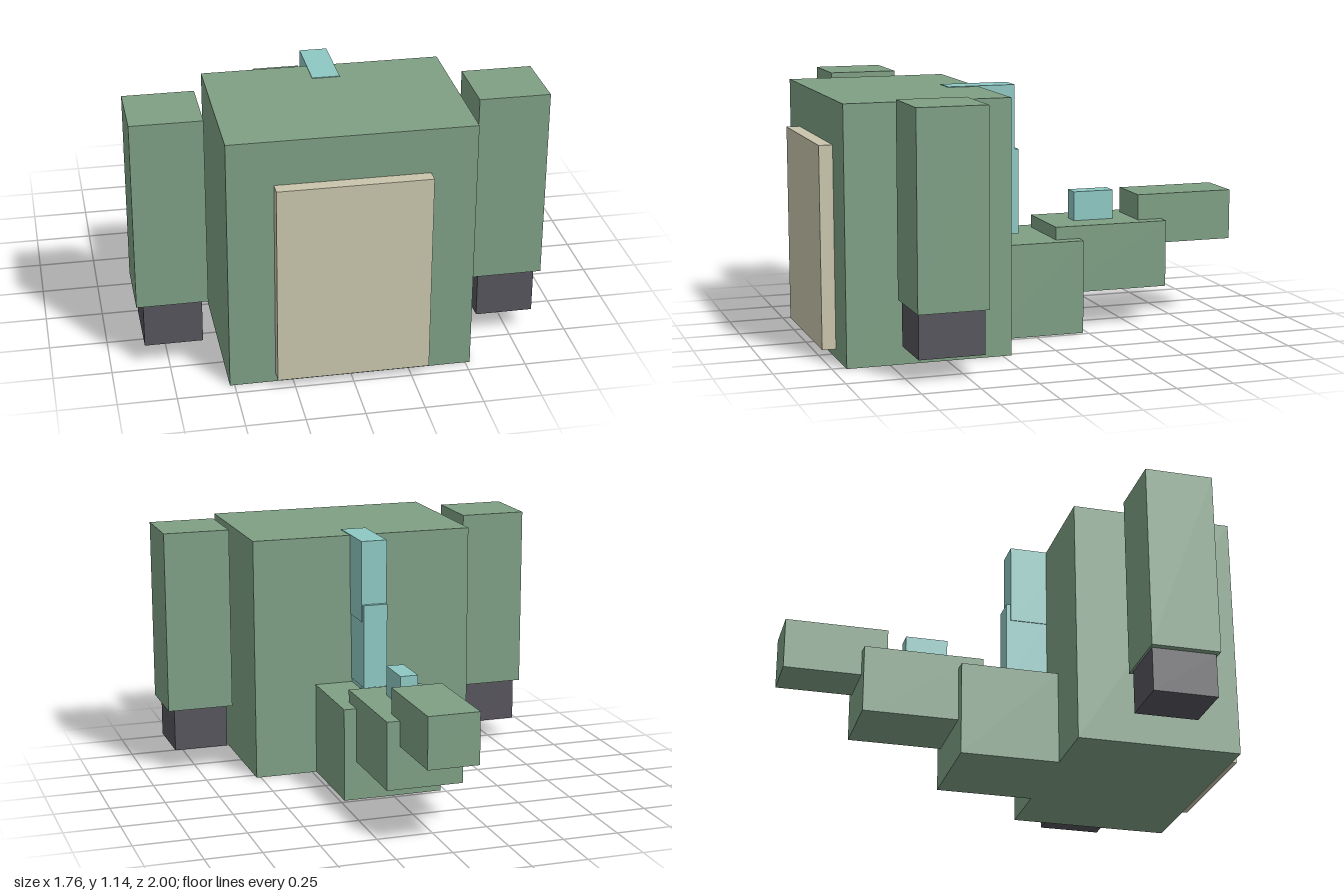
import * as THREE from 'three';

const material = (name, color) => {
  const m = new THREE.MeshStandardMaterial({ color });
  m.name = name;
  return m;
};

export function createModel() {
  const green = material('green skin', 0x7e9f84);
  const cream = material('cream belly', 0xc8c4ab);
  const teal = material('teal spines', 0x8ec8c3);
  const dark = material('dark grey hands', 0x56545c);

  const model = new THREE.Group();
  model.name = 'blockCreature';

  // Adds a box given its extents on each axis
  const box = (name, mat, [x0, x1], [y0, y1], [z0, z1], parent = model) => {
    const mesh = new THREE.Mesh(new THREE.BoxGeometry(x1 - x0, y1 - y0, z1 - z0), mat);
    mesh.position.set((x0 + x1) / 2, (y0 + y1) / 2, (z0 + z1) / 2);
    mesh.name = name;
    parent.add(mesh);
  };

  // Torso and raised belly panel
  box('body', green, [-0.52, 0.52], [0, 1.12], [0.21, 0.94]);
  box('belly', cream, [-0.325, 0.325], [0.04, 0.925], [0.94, 1]);

  // Arms with hands, mirrored
  for (const [side, s] of [['left', 1], ['right', -1]]) {
    const arm = new THREE.Group();
    arm.name = side + 'Arm';
    const span = (a, b) => (s > 0 ? [a, b] : [-b, -a]);
    box(side + 'Sleeve', green, span(0.577, 0.882), [0.295, 1.137], [0.425, 0.73], arm);
    box(side + 'Hand', dark, span(0.603, 0.853), [0.1, 0.295], [0.435, 0.72], arm);
    model.add(arm);
  }

  // Tail: three segments, narrowing and rising toward the back
  const tail = new THREE.Group();
  tail.name = 'tail';
  box('tailBase', green, [-0.23, 0.23], [0, 0.425], [-0.23, 0.21], tail);
  box('tailMiddle', green, [-0.173, 0.173], [0.177, 0.483], [-0.655, -0.118], tail);
  box('tailTip', green, [-0.115, 0.115], [0.37, 0.6], [-1, -0.54], tail);
  model.add(tail);

  // Spines along the back and on the tail
  const spines = new THREE.Group();
  spines.name = 'spines';
  box('upperSpine', teal, [-0.06, 0.06], [0.75, 1.123], [0.04, 0.35], spines);
  box('middleSpine', teal, [-0.056, 0.056], [0.443, 0.83], [0.02, 0.25], spines);
  box('lowerSpine', teal, [-0.053, 0.053], [0.4, 0.46], [0.062, 0.25], spines);
  box('tailSpine', teal, [-0.04, 0.04], [0.45, 0.617], [-0.443, -0.253], spines);
  model.add(spines);

  return model;
}
